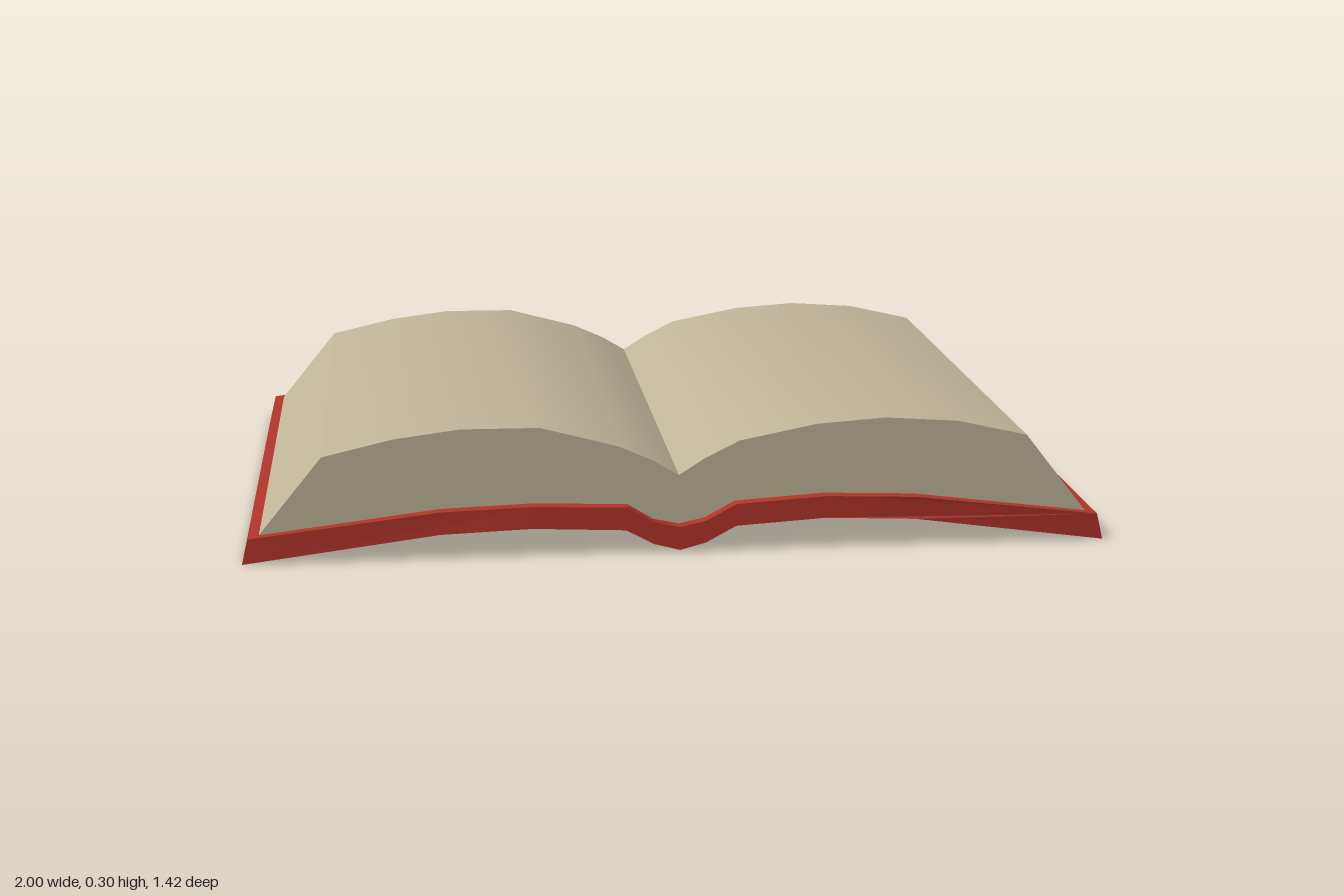
import * as THREE from 'three';
import { toCreasedNormals } from 'three/addons/utils/BufferGeometryUtils.js';

const red = new THREE.MeshStandardMaterial({ color: 0xb2342a });
red.name = 'cover red';
const cream = new THREE.MeshStandardMaterial({ color: 0xbfb598 });
cream.name = 'paper cream';

// Extrudes an x-y outline along z, centred on z = 0
function slab(name, outline, depth, material, adjust) {
  const shape = new THREE.Shape(outline.map(([x, y]) => new THREE.Vector2(x, y)));
  const geometry = new THREE.ExtrudeGeometry(shape, { depth, bevelEnabled: false });
  geometry.translate(0, 0, -depth / 2);
  if (adjust) {
    const p = geometry.attributes.position;
    for (let i = 0; i < p.count; i++) p.setZ(i, adjust(p.getX(i), p.getZ(i)));
  }
  const mesh = new THREE.Mesh(toCreasedNormals(geometry, 0.5), material);
  mesh.name = name;
  return mesh;
}

export function createModel() {
  const book = new THREE.Group();
  book.name = 'openBook';

  // Bent cover: underside left to right, then the upper side
  const under = [[-1, 0], [-0.55, 0.06], [-0.34, 0.068], [-0.125, 0.058], [-0.06, 0.023], [0, 0.007],
    [0.06, 0.023], [0.13, 0.061], [0.34, 0.074], [0.55, 0.065], [1, 0]];
  const upper = [[-0.985, 0.06], [-0.55, 0.113], [-0.34, 0.12], [-0.12, 0.112], [-0.06, 0.075], [0, 0.062],
    [0.06, 0.075], [0.13, 0.113], [0.34, 0.126], [0.55, 0.118], [0.985, 0.062]];
  // Short edges narrow slightly towards the outer corners
  const taper = (x, z) => z * (1 - 0.014 * Math.max(0, (Math.abs(x) - 0.75) / 0.25));
  book.add(slab('cover', [...under, ...upper.slice().reverse()], 1.42, red, taper));

  // Page block: its base sits just inside the cover, its top arches on both sides of the gutter
  const base = upper.map(([x, y]) => [x * 0.982, y - 0.005]);
  const arch = [[-0.815, 0.242], [-0.65, 0.28], [-0.5, 0.299], [-0.32, 0.298], [-0.14, 0.25], [-0.06, 0.214],
    [0, 0.178], [0.06, 0.216], [0.14, 0.256], [0.32, 0.291], [0.48, 0.302], [0.65, 0.29], [0.815, 0.252]];
  book.add(slab('pages', [...base, ...arch.reverse()], 1.36, cream));

  return book;
}
